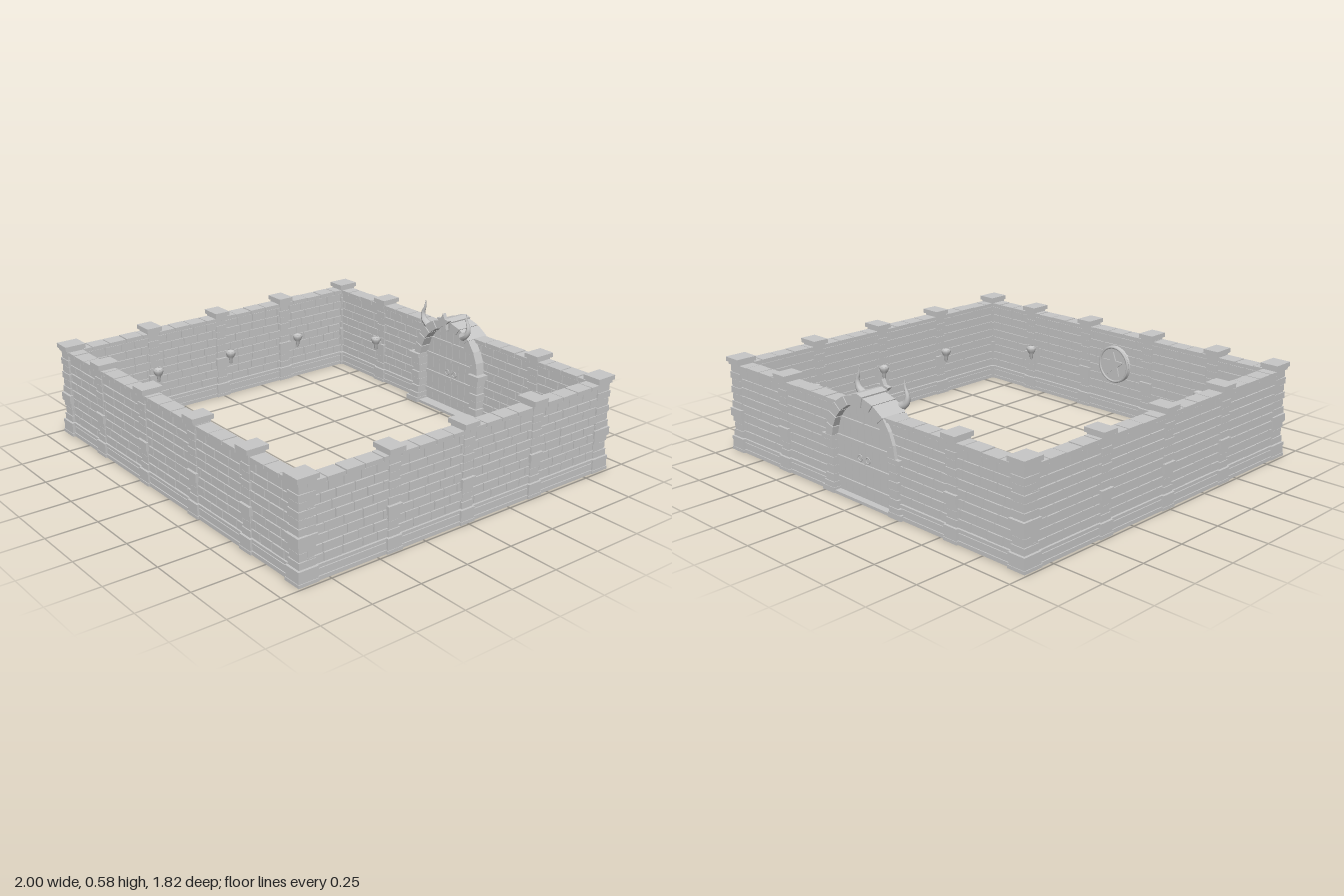
import * as THREE from 'three';
import { mergeGeometries } from 'three/addons/utils/BufferGeometryUtils.js';

const stone = new THREE.MeshStandardMaterial({ color: 0xc6c6c6 });
stone.name = 'grey stone';

let seed = 7;
const rand = () => (seed = (seed * 16807) % 2147483647) / 2147483647;

// Box given by its x, y and z ranges
function block(x0, x1, y0, y1, z0, z1) {
  return new THREE.BoxGeometry(x1 - x0, y1 - y0, z1 - z0)
    .translate((x0 + x1) / 2, (y0 + y1) / 2, (z0 + z1) / 2);
}

// Polygon extruded from z0 to z1
function slab(points, z0, z1) {
  const shape = new THREE.Shape(points.map(([x, y]) => new THREE.Vector2(x, y)));
  return new THREE.ExtrudeGeometry(shape, { depth: z1 - z0, bevelEnabled: false, curveSegments: 1 })
    .translate(0, 0, z0);
}

function part(name, geometries, parent) {
  const mesh = new THREE.Mesh(mergeGeometries(geometries.map(g => g.index ? g.toNonIndexed() : g)), stone);
  mesh.name = name;
  parent.add(mesh);
  return mesh;
}

// Brick wall along x; start(y) lets one end follow the gate arch
function wall(name, start, end, pillars) {
  const group = new THREE.Group();
  group.name = name;
  const core = [], bricks = [], coping = [];
  const rows = 8, bottom = 0.07, h = 0.35 / rows;
  for (let r = 0; r < rows; r++) {
    const y0 = bottom + r * h, y1 = y0 + h, x0 = start(y1);
    core.push(block(x0, end, y0, y1, -0.025, 0.025));
    let x = x0, first = r % 2 ? 0.045 : 0.09;
    while (x < end - 0.01) {
      const next = Math.min(end, x + (x === x0 ? first : 0.075 + 0.03 * rand()));
      const d = 0.03 + 0.003 * rand();
      bricks.push(block(x + 0.003, next - 0.002, y0 + 0.003, y1 - 0.003, -d, d));
      x = next;
    }
  }
  const top = start(0.44), count = Math.round((end - top) / 0.097), step = (end - top) / count;
  for (let i = 0; i < count; i++) {
    const x = top + i * step;
    coping.push(block(x + 0.003, x + step - 0.003, 0.421, 0.439 + 0.003 * rand(), -0.039, 0.039));
  }
  core.push(block(top, end, 0.42, 0.435, -0.033, 0.033));
  const s = start(0);
  part('wallCore', core, group);
  part('bricks', bricks, group);
  part('coping', coping, group);
  part('plinth', [
    block(s, end, 0, 0.018, -0.04, 0.04), block(s, end, 0.018, 0.05, -0.035, 0.035),
    block(s, end, 0.05, 0.056, -0.03, 0.03), block(s, end, 0.056, 0.07, -0.037, 0.037)], group);
  pillars.forEach(x => pillar(group, x, 0, 0.062, 0.078));
  return group;
}

// Pillar with footing, quoins, middle band and cap
function pillar(parent, x, z, w, d, capW = 0.084, capD = 0.108) {
  const centred = (bw, bd, y0, y1) => block(-bw / 2, bw / 2, y0, y1, -bd / 2, bd / 2);
  const g = [
    centred(w + 0.02, d + 0.018, 0, 0.015), centred(w + 0.013, d + 0.012, 0.015, 0.055),
    centred(w + 0.016, d + 0.016, 0.055, 0.07), centred(w - 0.012, d - 0.01, 0.07, 0.44),
    centred(w + 0.012, d + 0.016, 0.175, 0.215),
    centred(w + 0.008, d + 0.008, 0.436, 0.45), centred(capW, capD, 0.45, 0.472)];
  for (let i = 0; i < 10; i++) {
    const y = 0.07 + i * 0.0366, k = i % 2 ? 0.008 : 0;
    g.push(centred(w - k, d - k, y + 0.003, y + 0.034));
  }
  part('pillar', g, parent).position.set(x, 0, z);
}

// Wall torch holder, projecting along local +z
function sconce(parent, x, z, angle) {
  const profile = [[0, -0.06], [0.008, -0.055], [0.01, -0.03], [0.02, -0.015], [0.027, 0],
    [0.027, 0.012], [0.02, 0.012], [0.016, 0.004], [0, 0.004]];
  const cup = new THREE.LatheGeometry(profile.map(p => new THREE.Vector2(...p)), 10);
  const mesh = part('sconce', [cup, block(-0.006, 0.006, -0.03, -0.015, -0.045, 0),
    block(-0.014, 0.014, -0.05, 0.005, -0.048, -0.04)], parent);
  mesh.position.set(x, 0.245, z);
  mesh.rotation.y = angle;
}

function starPoints(radius, inner, cx = 0, cy = 0) {
  return Array.from({ length: 10 }, (_, i) => {
    const r = i % 2 ? inner : radius, a = Math.PI / 2 + i * Math.PI / 5;
    return [cx + r * Math.cos(a), cy + r * Math.sin(a)];
  });
}

// Half profiles of the gate arch, from springing to crown
const outer = [[0.235, 0.27], [0.225, 0.33], [0.202, 0.385], [0.165, 0.436], [0.1, 0.478], [0, 0.505]];
const inner = [[0.19, 0.27], [0.181, 0.315], [0.158, 0.365], [0.125, 0.405], [0.072, 0.442], [0, 0.462]];

// Linear lookup along a profile: input axis a, output axis b
function lookup(profile, value, a, b) {
  for (let i = 0; i < profile.length - 1; i++) {
    const p = profile[i], q = profile[i + 1];
    if ((value - p[a]) * (value - q[a]) <= 0) return p[b] + (q[b] - p[b]) * (value - p[a]) / (q[a] - p[a]);
  }
  return profile[0][b];
}

function gate() {
  const group = new THREE.Group();
  group.name = 'gate';
  const mix = (p, q, t) => [p[0] + (q[0] - p[0]) * t, p[1] + (q[1] - p[1]) * t];
  const stones = [], jambs = [], planks = [], bands = [];
  for (const s of [-1, 1]) {
    const flip = pts => pts.map(([x, y]) => [s * x, y]);
    const sided = (x0, x1, ...r) => s > 0 ? block(x0, x1, ...r) : block(-x1, -x0, ...r);
    // Arch stones over a slightly recessed backing
    for (let i = 0; i < 5; i++) {
      const o = t => mix(outer[i], outer[i + 1], t), n = t => mix(inner[i], inner[i + 1], t);
      stones.push(slab(flip([o(0.04), o(0.96), n(0.96), n(0.04)]), -0.905, -0.775));
      stones.push(slab(flip([mix(o(0), n(0), 0.08), mix(o(1), n(1), 0.08),
        mix(o(0), n(0), 0.92), mix(o(1), n(1), 0.92)].map((p, k, a) => a[[0, 1, 3, 2][k]])), -0.9, -0.78));
    }
    // Jamb stones, footing and impost
    for (let i = 0; i < 5; i++) {
      const y = 0.05 + i * 0.04, k = i % 2 ? 0.006 : 0;
      jambs.push(sided(0.19, 0.245 - k, y + 0.002, y + 0.038, -0.905 + k / 2, -0.768 - k));
    }
    jambs.push(sided(0.192, 0.235, 0.04, 0.26, -0.9, -0.778),
      sided(0.185, 0.267, 0, 0.025, -0.91, -0.755), sided(0.188, 0.255, 0.025, 0.05, -0.907, -0.762),
      sided(0.187, 0.262, 0.25, 0.272, -0.907, -0.757));
    // Door leaf of four planks
    for (let i = 0; i < 4; i++) {
      const x0 = i * 0.048 + 0.002, x1 = Math.min(0.19, x0 + 0.045), top = x => lookup(inner, x, 0, 1);
      planks.push(slab(flip([[x0, 0.012], [x1, 0.012], [x1, top(x1)], [(x0 + x1) / 2, top((x0 + x1) / 2)],
        [x0, top(x0)]]), -0.872, -0.828));
    }
    for (const y of [0.06, 0.16, 0.26, 0.35]) {
      bands.push(sided(0.004, lookup(inner, y + 0.02, 1, 0), y, y + 0.018, -0.88, -0.82));
    }
    for (const z of [-0.881, -0.819]) {
      bands.push(new THREE.TorusGeometry(0.014, 0.003, 6, 14).translate(s * 0.026, 0.205, z));
    }
    // Curved tapering horn
    const curve = new THREE.CatmullRomCurve3([[0.125, 0.45], [0.158, 0.472], [0.168, 0.505], [0.155, 0.54],
      [0.15, 0.578]].map(([x, y]) => new THREE.Vector3(s * x, y, -0.768)));
    const seg = 14, sides = 8, horn = new THREE.TubeGeometry(curve, seg, 0.021, sides);
    const pos = horn.attributes.position, v = new THREE.Vector3();
    for (let i = 0; i < pos.count; i++) {
      const t = Math.floor(i / (sides + 1)) / seg, c = curve.getPointAt(t);
      v.fromBufferAttribute(pos, i).sub(c).multiplyScalar(1 - 0.95 * t).add(c);
      pos.setXYZ(i, v.x, v.y, v.z);
    }
    horn.computeVertexNormals();
    part('horn', [horn], group);
  }
  part('archStones', stones, group);
  part('jambs', jambs, group);
  part('doorPlanks', [...planks, block(-0.188, 0.188, 0.012, 0.3, -0.862, -0.838)], group);
  part('doorBands', bands, group);
  part('threshold', [block(-0.19, 0.19, 0, 0.014, -0.905, -0.77)], group);
  part('keystone', [slab([[-0.022, 0.452], [0.022, 0.452], [0.034, 0.503], [0, 0.512], [-0.034, 0.503]],
    -0.91, -0.765)], group);
  part('gateStar', [slab(starPoints(0.046, 0.023, 0, 0.5), -0.768, -0.748)], group);
  return group;
}

export function createModel() {
  const model = new THREE.Group();
  model.name = 'walledCourtyard';

  const front = wall('frontWall', () => -0.944, 0.944, [-0.61, -0.208, 0.208, 0.61]);
  front.position.z = 0.853;
  model.add(front);

  for (const s of [-1, 1]) {
    const side = wall('sideWall', () => -0.855, 0.855, [-0.415, 0, 0.412]);
    side.position.x = s * 0.944;
    side.rotation.y = -Math.PI / 2;
    model.add(side);

    // Half of the back wall, cut to meet the gate arch
    const back = wall('backWall', y => lookup(outer, y, 1, 0) - 0.015, 0.944, [0.565]);
    back.position.z = -0.856;
    back.rotation.y = s > 0 ? 0 : Math.PI;
    model.add(back);

    for (const z of [-0.855, 0.855]) pillar(model, s * 0.942, z, 0.074, 0.084, 0.094, 0.108);
    for (const z of [-0.475, -0.03, 0.415]) sconce(model, s * 0.869, z, -s * Math.PI / 2);
    sconce(model, s * 0.567, 0.778, Math.PI);
    sconce(model, s * 0.562, -0.783, 0);
  }

  model.add(gate());

  // Round shield with a star on the inside of the front wall
  const disc = new THREE.CylinderGeometry(0.094, 0.1, 0.02, 28).rotateX(-Math.PI / 2).translate(0, 0.27, 0.814);
  const rim = new THREE.TorusGeometry(0.092, 0.007, 6, 28).translate(0, 0.27, 0.805);
  part('shield', [disc, rim, slab(starPoints(0.07, 0.03, 0, 0.27), 0.796, 0.806)], model);
  return model;
}
